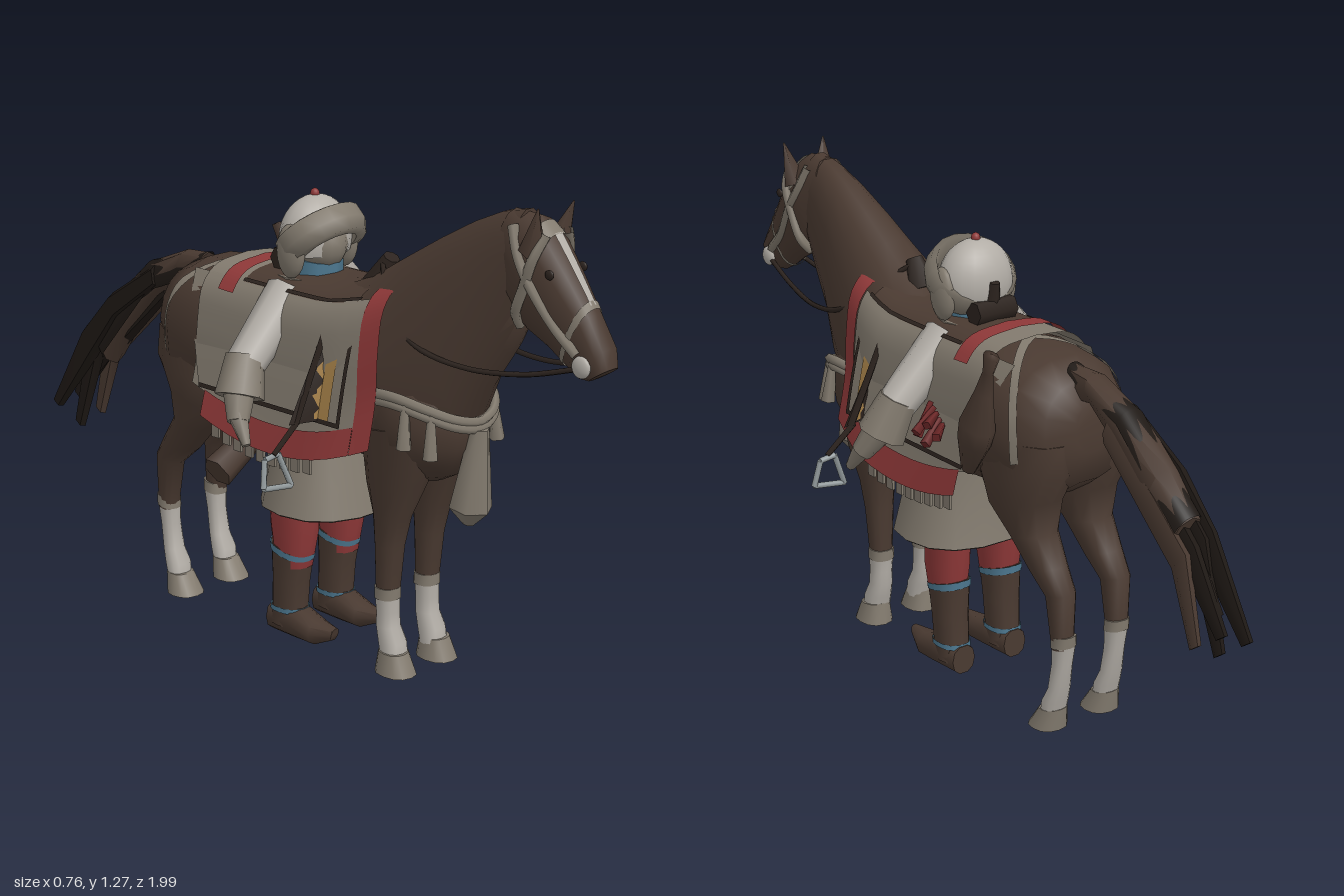
import * as THREE from 'three';
import { toCreasedNormals } from 'three/addons/utils/BufferGeometryUtils.js';

const mat = (name, color) => new THREE.MeshStandardMaterial({ name, color, side: THREE.DoubleSide });
const V = (x, y, z) => new THREE.Vector3(x, y, z);

export function createModel() {
  const root = new THREE.Group();
  root.name = 'horseAndRider';
  const brown = mat('coat brown', 0x4a3a31), dark = mat('dark brown', 0x2c231e), black = mat('tail black', 0x1f1915),
    taupe = mat('taupe cloth', 0x827a6e), light = mat('pale grey', 0xb2ada6), steel = mat('stirrup steel', 0x98a0a2),
    red = mat('red cloth', 0x8e3838), deepRed = mat('deep red', 0x6c2727), gold = mat('gold panel', 0xa58048), blue = mat('blue trim', 0x4d7890);

  const add = (name, geo, material, parent = root) => {
    const m = new THREE.Mesh(geo, material);
    m.name = name;
    parent.add(m);
    return m;
  };

  // A ring is [z1, y1, z2, y2, halfWidth]: an oval between two points of the side profile
  const surf = (rings, t, a, x = 0, k = 1) => {
    const i = Math.min(Math.floor(t), rings.length - 2), f = t - i;
    const [z1, y1, z2, y2, w] = rings[i].map((v, j) => v + (rings[i + 1][j] - v) * f);
    const pw = c => Math.sign(c) * Math.abs(c) ** 0.85;
    const c = pw(Math.cos(a)) * w * k, s = pw(Math.sin(a)) * k;
    return V(x + c, (y1 + y2) / 2 + s * (y1 - y2) / 2, (z1 + z2) / 2 + s * (z1 - z2) / 2);
  };
  const loft = (name, rings, material, x = 0, n = 12) => {
    const pos = [], idx = [], R = rings.length;
    let turn = 0;
    rings.forEach((r, i) => {
      for (let j = 0; j < n; j++) pos.push(...surf(rings, i, j / n * Math.PI * 2, x));
      if (i) {
        const p = rings[i - 1], d = q => [(q[0] + q[2]) / 2, (q[1] + q[3]) / 2];
        turn += (d(r)[1] - d(p)[1]) * (r[2] - r[0]) + (d(r)[0] - d(p)[0]) * (r[1] - r[3]);
      }
    });
    const tri = (a, b, c) => turn > 0 ? idx.push(a, b, c) : idx.push(a, c, b);
    for (let i = 0; i < R - 1; i++) for (let j = 0; j < n; j++) {
      const a = i * n + j, b = i * n + (j + 1) % n;
      tri(a, b, b + n); tri(a, b + n, a + n);
    }
    for (let j = 1; j < n - 1; j++) { tri(0, j + 1, j); tri((R - 1) * n, (R - 1) * n + j, (R - 1) * n + j + 1); }
    const g = new THREE.BufferGeometry();
    g.setAttribute('position', new THREE.Float32BufferAttribute(pos, 3));
    g.setIndex(idx);
    return add(name, toCreasedNormals(g, 0.9), material);
  };
  const sheet = (name, f, u0, u1, v0, v1, material, nu = 8, nv = 12) => {
    const g = new THREE.PlaneGeometry(1, 1, nu, nv), p = g.attributes.position, uv = g.attributes.uv;
    for (let i = 0; i < p.count; i++) p.setXYZ(i, ...f(u0 + (u1 - u0) * uv.getX(i), v0 + (v1 - v0) * uv.getY(i)));
    g.computeVertexNormals();
    return add(name, g, material);
  };
  const band = (name, rings, t0, t1, k, material, x = 0, a0 = 0, a1 = Math.PI * 2) =>
    sheet(name, (t, a) => surf(rings, t, a, x, k), t0, t1, a0, a1, material, 2, 24);
  const limb = (name, a, b, r1, r2, material, n = 8) => {
    const d = b.clone().sub(a), m = add(name, new THREE.CylinderGeometry(r2, r1, d.length(), n), material);
    m.position.copy(a).addScaledVector(d, 0.5);
    m.quaternion.setFromUnitVectors(V(0, 1, 0), d.normalize());
    return m;
  };
  const tube = (name, pts, r, material) =>
    add(name, new THREE.TubeGeometry(new THREE.CatmullRomCurve3(pts, false, 'centripetal'), 32, r, 5), material);
  const ball = (name, p, s, material) => {
    const m = add(name, new THREE.SphereGeometry(1, 16, 10), material);
    m.position.copy(p); m.scale.copy(s);
    return m;
  };

  // Horse trunk, neck and head
  const body = [[-.45, .86, -.46, .74, .05], [-.42, .92, -.445, .66, .13], [-.34, .955, -.36, .6, .18], [-.2, .97, -.2, .58, .183],
    [0, .955, 0, .56, .175], [.15, .965, .18, .54, .165], [.26, 1.01, .36, .53, .15], [.38, 1.085, .5, .57, .125],
    [.48, 1.145, .57, .68, .105], [.58, 1.2, .62, .79, .083], [.66, 1.235, .69, .89, .065], [.73, 1.25, .73, .97, .055]];
  const head = [[.69, 1.245, .66, 1.08, .05], [.77, 1.24, .70, 1.0, .065], [.82, 1.2, .76, .96, .069], [.88, 1.12, .82, .93, .058],
    [.94, 1.035, .87, .895, .045], [.985, .96, .91, .875, .047], [.995, .915, .935, .875, .035]];
  loft('horseBody', body, brown, 0, 18);
  loft('horseHead', head, brown, 0, 12);
  ball('chest', V(0, .68, .42), V(.145, .17, .165), brown);

  // Horse legs with pale socks and hooves
  const fore = [[.52, .68, .28, .64, .07], [.47, .52, .3, .5, .058], [.42, .42, .32, .42, .044], [.4, .34, .325, .34, .037], [.385, .19, .328, .19, .029]];
  const foreSock = [[.387, .205, .325, .205, .032], [.387, .16, .33, .16, .03], [.39, .12, .33, .12, .031], [.41, .08, .34, .08, .036], [.415, .04, .35, .04, .036]];
  const foreCuff = [[.389, .225, .324, .225, .034], [.389, .195, .324, .195, .034]];
  const foreHoof = [[.42, .055, .345, .06, .037], [.447, 0, .335, 0, .046]];
  const hind = [[-.16, .76, -.45, .77, .08], [-.16, .64, -.455, .69, .088], [-.2, .57, -.41, .61, .08], [-.28, .5, -.4, .52, .058],
    [-.35, .42, -.45, .45, .044], [-.41, .37, -.487, .39, .036], [-.433, .23, -.485, .24, .027]];
  const hindSock = [[-.431, .24, -.488, .25, .03], [-.43, .19, -.478, .19, .027], [-.42, .12, -.467, .12, .03], [-.4, .08, -.455, .08, .036], [-.395, .04, -.445, .04, .035]];
  const hindCuff = [[-.43, .265, -.491, .275, .031], [-.429, .235, -.489, .245, .032]];
  const hindHoof = [[-.388, .055, -.452, .06, .037], [-.35, 0, -.447, 0, .048]];
  for (const s of [1, -1]) {
    loft('foreLeg', fore, brown, s * .073);
    loft('foreSock', foreSock, light, s * .073);
    loft('foreSockTop', foreCuff, taupe, s * .073);
    loft('foreHoof', foreHoof, taupe, s * .077);
    loft('hindLeg', hind, brown, s * .088);
    loft('hindSock', hindSock, light, s * .085);
    loft('hindSockTop', hindCuff, taupe, s * .086);
    loft('hindHoof', hindHoof, taupe, s * .085);

    // Ears, eyes, crossed bridle straps and reins
    limb('ear', V(s * .045, 1.16, .78), V(s * .064, 1.27, .81), .034, .002, brown, 5);
    ball('eye', V(s * .06, 1.12, .845), V(.006, .012, .013), dark);
    tube('browStrap', [V(s * .04, 1.205, .815), V(s * .066, 1.15, .8), V(s * .066, 1.08, .775), V(s * .058, 1.01, .745), V(s * .03, .975, .735)], .014, taupe);
    tube('cheekStrap', [V(s * .046, 1.215, .72), V(s * .061, 1.15, .75), V(s * .066, 1.09, .79), V(s * .052, 1.0, .855), V(s * .044, .94, .92)], .014, taupe);
    ball('bitRing', V(s * .046, .915, .935), V(.012, .027, .027), light);
    tube('rein', [V(s * .045, .91, .93), V(s * .07, .87, .78), V(s * .1, .86, .62), V(s * .112, .89, .47), V(s * .09, .97, .36), V(s * .02, 1.04, .28)], .007, dark);
  }
  band('browBand', head, 1.3, 2, 1.03, taupe, 0, .35, Math.PI - .35);
  band('noseBand', head, 3.7, 3.9, 1.04, taupe);
  sheet('blaze', (t, a) => surf(head, t, a, 0, 1.035), 1.95, 3.8, 1.42, 1.72, light, 6, 2);

  // Tail: a thick root that parts into flat strands, darker on the upper right
  const tailRoot = [[-.38, .95, -.42, .86, .03], [-.46, .945, -.48, .87, .04], [-.6, .89, -.58, .79, .046], [-.74, .785, -.7, .665, .05], [-.83, .69, -.77, .56, .045]];
  loft('tailRoot', tailRoot, brown, 0, 8);
  band('tailTopHair', tailRoot, 0, 4, 1.04, black, 0, .4, 3.6);
  [[-.042, -1, .42], [-.02, -.93, .37], [.012, -.97, .44], [.04, -.91, .4], [0, -.94, .48]].forEach(([x, z, y], i) =>
    loft('tailStrand', [[-.56, .89 - i * .01, -.55, .83 - i * .01, .012], [-.74, .78 - i * .018, -.71, .71 - i * .018, .02],
      [-.86, .66 - i * .014, -.81, .58 - i * .005, .02], [z, y, z + .03, y - .022, .013]], x > .03 ? brown : black, x, 5));

  // Saddle blanket: draped cross-section, s runs from one hem over the back to the other
  const drape = new THREE.CatmullRomCurve3([V(0, 0, 0), V(.1, .03, 0), V(.155, .14, 0), V(.18, .4, 0), V(.188, .7, 0), V(.218, 1, 0)]);
  const cloth = lift => (z, s) => {
    const q = drape.getPoint(Math.abs(s)), top = .98 + lift + Math.max(0, z - .2) * .22, low = .545 + .7 * (z - .07) ** 2;
    const x = q.x * (1 - Math.max(0, z - .25) * 1.2);
    return V(Math.sign(s) * (x + lift * Math.min(1, Math.abs(s) * 4)), top - (top - low) * q.y, z);
  };
  sheet('saddleSeat', cloth(0), .3, -.1, -.31, .31, brown, 6, 12);
  sheet('saddleBack', cloth(0), -.1, -.23, -.31, .31, taupe, 6, 12);
  sheet('saddleRearTrim', cloth(.006), -.11, -.165, -.42, .42, red, 2, 16);
  for (const s of [1, -1]) {
    sheet('blanket', cloth(0), .335, -.23, s * .3, s * .9, taupe, 10, 12);
    sheet('blanketTopEdge', cloth(.003), .31, -.1, s * .28, s * .31, dark, 8, 2);
    sheet('blanketFrontTrim', cloth(.002), .39, .335, s * .17, s, red, 2, 14);
    sheet('blanketHemTrim', cloth(.003), .335, -.18, s * .89, s, red, 10, 2);
    for (let i = 0; i < 9; i++) {
      const tab = add('fringeTab', new THREE.BoxGeometry(.008, .055, .026), taupe);
      tab.position.set(s * .205, .535 + .7 * (.12 - i * .04) ** 2, .2 - i * .042);
    }
    // Saddle flap with dark edging
    const flap = o => (z, v) => V(s * (.12 + .085 * v ** .6 + o), .945 - .285 * v, z - (z < 0 ? .1 * (1 - v) : 0) + o);
    sheet('saddleFlap', flap(0), .31, -.2, 0, 1, taupe, 8, 6);
    sheet('flapFrontEdge', flap(.004), .31, .298, 0, 1, dark, 1, 6);
    sheet('flapLowerEdge', flap(.004), .31, -.2, .96, 1, dark, 6, 1);

    // Gold fender standing out from the flap, facing forwards, on a dark strap
    const fender = (w, o) => (u, v) => V(s * (.115 + (.025 + w * v) * u), .925 + o - (.255 + o * 2) * v, .272 - .048 * u + o * 1.5);
    sheet('goldFender', fender(.105, 0), 0, 1, 0, 1, gold, 1, 4);
    sheet('fenderBacking', fender(.125, -.004), 0, 1.08, -.02, 1.04, dark, 1, 4);
    sheet('goldPanel', flap(.004), .27, .235, .08, .96, gold, 2, 6);
    limb('fenderStrap', V(s * .135, .93, .215), V(s * .26, .665, .215), .01, .012, dark, 4);

    // Stirrup on its strap
    limb('stirrupStrap', V(s * .25, .67, .215), V(s * .335, .6, .215), .01, .009, dark, 4);
    const frame = [V(s * .315, .598, .21), V(s * .36, .592, .21), V(s * .374, .522, .22), V(s * .28, .51, .22)];
    frame.forEach((p, i) => limb('stirrup', p, frame[(i + 1) % 4], .008, .008, steel, 5));
  }
  limb('pommel', V(0, .98, .25), V(0, 1.055, .29), .045, .022, dark);
  sheet('crupperStrap', (w, a) => surf(body, 2.82 + w - 1.1 * Math.abs(Math.cos(a)), a, 0, 1.02), 0, .22, -.3, Math.PI + .3, taupe, 2, 24);

  // Breast strap with hanging tassels
  const breast = a => V(Math.sin(a) * .15, .69 + .06 * Math.sin(a) ** 2, .42 + Math.cos(a) * .172);
  for (const y of [-.009, .009])
    tube('breastStrap', [-1.9, -1.4, -.9, -.45, 0, .45, .9, 1.4, 1.9].map(a => breast(a).add(V(0, y, 0))), .013, taupe);
  limb('breastTassel', V(0, .68, .59), V(0, .47, .565), .025, .056, taupe, 6);
  limb('breastTasselTip', V(0, .47, .565), V(0, .425, .56), .056, .015, taupe, 6);
  for (const a of [-1.25, -.85, .85, 1.25]) {
    const p = breast(a);
    limb('breastTassel', p, V(p.x * 1.08, p.y - .11, p.z + .008), .01, .02, taupe, 5);
  }

  // Rider's robe
  loft('robe', [[.1, .97, -.06, .97, .1], [.13, .88, -.07, .88, .13], [.16, .7, -.06, .7, .14], [.19, .57, -.05, .57, .145], [.24, .37, -.085, .37, .185]], taupe, 0, 14);
  loft('robeLining', [[.235, .369, -.08, .369, .18], [.235, .366, -.08, .366, .18]], dark, 0, 14);

  // Rider's legs and boots
  const trouser = [[.1, .4, -.04, .4, .055], [.1, .3, -.035, .3, .053], [.08, .2, -.02, .2, .044]];
  const boot = [[.085, .235, -.035, .265, .049], [.07, .16, -.03, .16, .046], [.065, .08, -.035, .08, .042], [.065, .03, -.04, .03, .042]];
  const foot = [[-.04, .08, -.04, 0, .036], [.05, .09, .05, 0, .045], [.12, .065, .12, 0, .04], [.185, .06, .175, .025, .014]];
  for (const s of [1, -1]) {
    const x = s * .085;
    loft('trouserLeg', trouser, red, x);
    loft('boot', boot, brown, x);
    loft('bootFoot', foot, brown, x, 10);
    band('bootTopTrim', boot, 0, .2, 1.04, blue, x);
    band('bootAnkleTrim', boot, 1.95, 2.2, 1.06, blue, x);

    // Arms: sleeve, flared cuff, forearm and hand
    limb('sleeve', V(s * .09, .93, .02), V(s * .262, .765, .025), .062, .05, light);
    limb('cuff', V(s * .245, .795, .02), V(s * .285, .7, .04), .05, .064, taupe);
    limb('forearm', V(s * .285, .72, .04), V(s * .322, .65, .075), .042, .028, taupe);
    limb('hand', V(s * .318, .665, .07), V(s * .332, .6, .115), .027, .012, taupe, 6);
    ball('earFlap', V(s * .095, 1.04, .03), V(.026, .07, .045), taupe);
  }

  // Rider's head, collar and hat with a fur brim turned up at the front
  limb('collar', V(0, .945, .03), V(0, 1.01, .035), .066, .062, blue);
  ball('face', V(0, 1.05, .045), V(.065, .07, .068), taupe);
  limb('neckGuard', V(-.06, 1.0, -.05), V(.06, 1.0, -.05), .032, .032, dark, 6);
  limb('backPouch', V(0, .96, -.035), V(0, 1.075, -.06), .03, .014, dark, 6);
  const P2 = pts => pts.map(p => new THREE.Vector2(...p));
  const crown = add('hatCrown', new THREE.SphereGeometry(1, 18, 12, 0, Math.PI * 2, 0, Math.PI * .6), light);
  crown.position.set(0, 1.06, .022);
  crown.scale.set(.105, .112, .08);
  const brim = add('hatBrim', new THREE.LatheGeometry(P2([[.08, -.03], [.11, -.03], [.125, 0], [.122, .04], [.108, .045], [.088, 0], [.08, -.03]]), 18), taupe);
  brim.position.set(0, 1.06, .053);
  brim.rotation.x = -.72;
  brim.scale.z = .9;
  ball('hatButton', V(0, 1.173, .02), V(.012, .014, .012), red);

  // Bow case on the left, quiver on the right, red tassel bunch
  const bowCase = add('bowCase', new THREE.LatheGeometry(P2([[0, 0], [.022, .01], [.05, .1], [.054, .15], [.027, .25], [.016, .31], [.024, .36], [0, .365]]), 8), brown);
  bowCase.position.set(.205, .66, -.22);
  bowCase.rotation.set(-.33, 0, -.04);
  bowCase.scale.x = .75;
  limb('quiver', V(-.1, .53, -.1), V(-.235, .455, -.1), .035, .045, brown, 6);
  for (let i = 0; i < 5; i++)
    limb('redTassel', V(.2, .8 - i * .012, -.06 - i * .012), V(.25 + (i % 2) * .02, .72 + (i % 3) * .02, -.07 - i * .02), .008, .014, deepRed, 4);

  return root;
}
